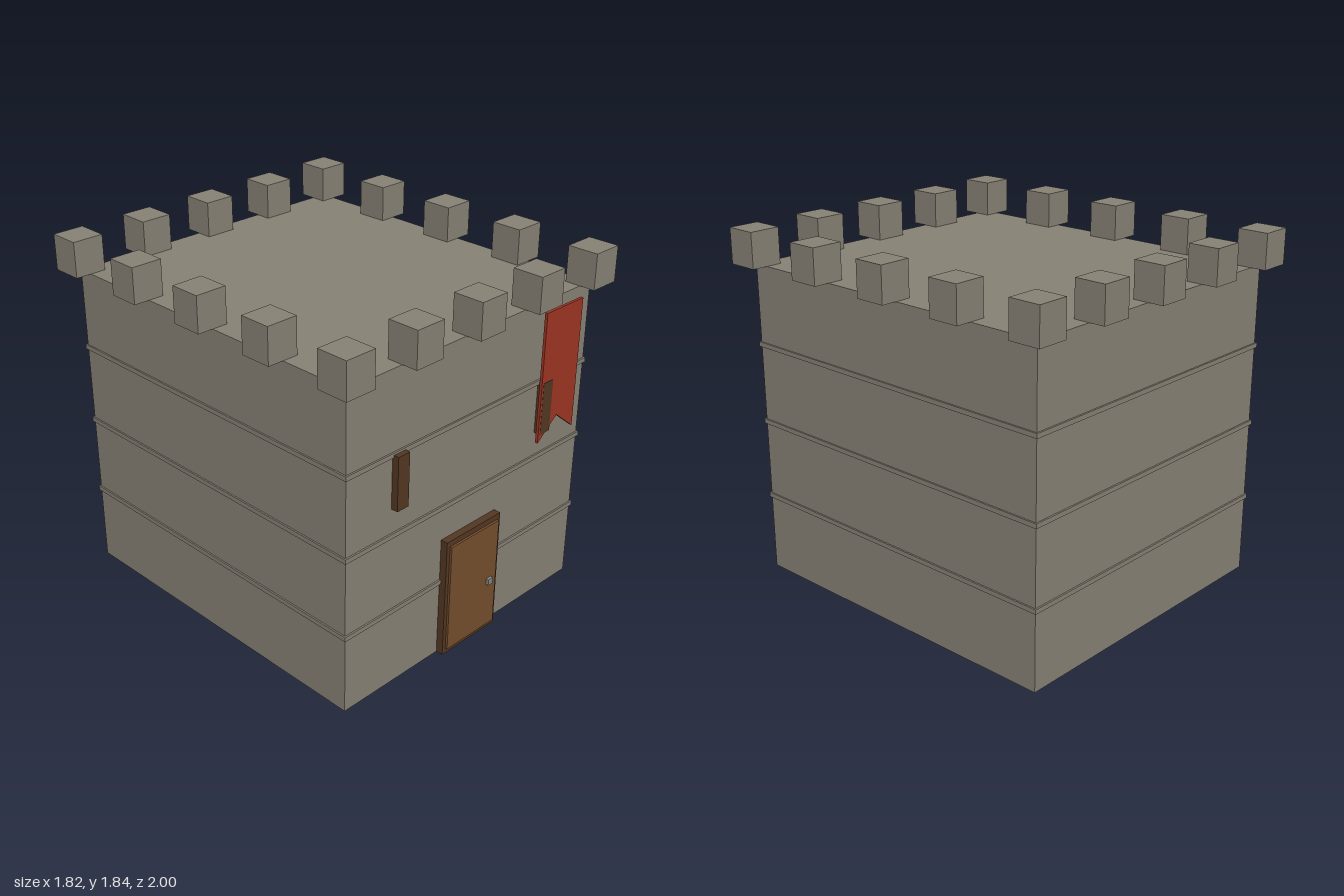
import * as THREE from 'three';

export function createModel() {
  const group = new THREE.Group();
  const material = (name, color) => {
    const m = new THREE.MeshStandardMaterial({ color });
    m.name = name;
    return m;
  };
  const stone = material('stone', 0x888276);
  const darkWood = material('dark wood', 0x533822);
  const doorWood = material('door wood', 0x764f2e);
  const red = material('banner red', 0x9e3524);
  const iron = material('iron', 0x858580);

  // Box given by its minimum and maximum corners
  function box(name, mat, [x0, y0, z0], [x1, y1, z1]) {
    const mesh = new THREE.Mesh(new THREE.BoxGeometry(x1 - x0, y1 - y0, z1 - z0), mat);
    mesh.position.set((x0 + x1) / 2, (y0 + y1) / 2, (z0 + z1) / 2);
    mesh.name = name;
    group.add(mesh);
  }

  // Keep walls and the thin stone courses around them
  const W = 0.825, D = 0.917, H = 1.652;
  box('keepWalls', stone, [-W, 0, -D], [W, H, D]);
  for (let i = 1; i <= 3; i++) {
    const y = i * H / 4;
    box('stoneCourse', stone, [-W - 0.008, y - 0.012, -D - 0.009], [W + 0.008, y + 0.012, D + 0.009]);
  }

  // Merlons around the roof edge, five per side with shared corners
  const m = 0.0825;
  for (let i = -2; i <= 2; i++) {
    for (let j = -2; j <= 2; j++) {
      if (Math.abs(i) < 2 && Math.abs(j) < 2) continue;
      const x = i * W / 2, z = j * D / 2;
      box('merlon', stone, [x - m, H, z - m], [x + m, 1.835, z + m]);
    }
  }

  // Door with frame and handle
  box('doorFrame', darkWood, [-0.193, 0, D - 0.02], [0.193, 0.645, 0.955]);
  box('doorPanel', doorWood, [-0.172, 0.028, D], [0.172, 0.615, 0.967]);
  box('doorHandle', iron, [0.1, 0.277, 0.96], [0.133, 0.31, 0.983]);

  // Arrow slits
  for (const x of [-0.505, 0.505]) {
    box('arrowSlit', darkWood, [x - 0.036, 0.965, D - 0.02], [x + 0.036, 1.24, 0.953]);
  }

  // Swallow-tailed banner
  const shape = new THREE.Shape();
  shape.moveTo(0.456, 1.607);
  shape.lineTo(0.456, 0.921);
  shape.lineTo(0.593, 1.03);
  shape.lineTo(0.73, 0.921);
  shape.lineTo(0.73, 1.607);
  shape.closePath();
  const banner = new THREE.Mesh(
    new THREE.ExtrudeGeometry(shape, { depth: 0.015, bevelEnabled: false }), red);
  banner.position.z = 0.937;
  banner.name = 'banner';
  group.add(banner);

  return group;
}
